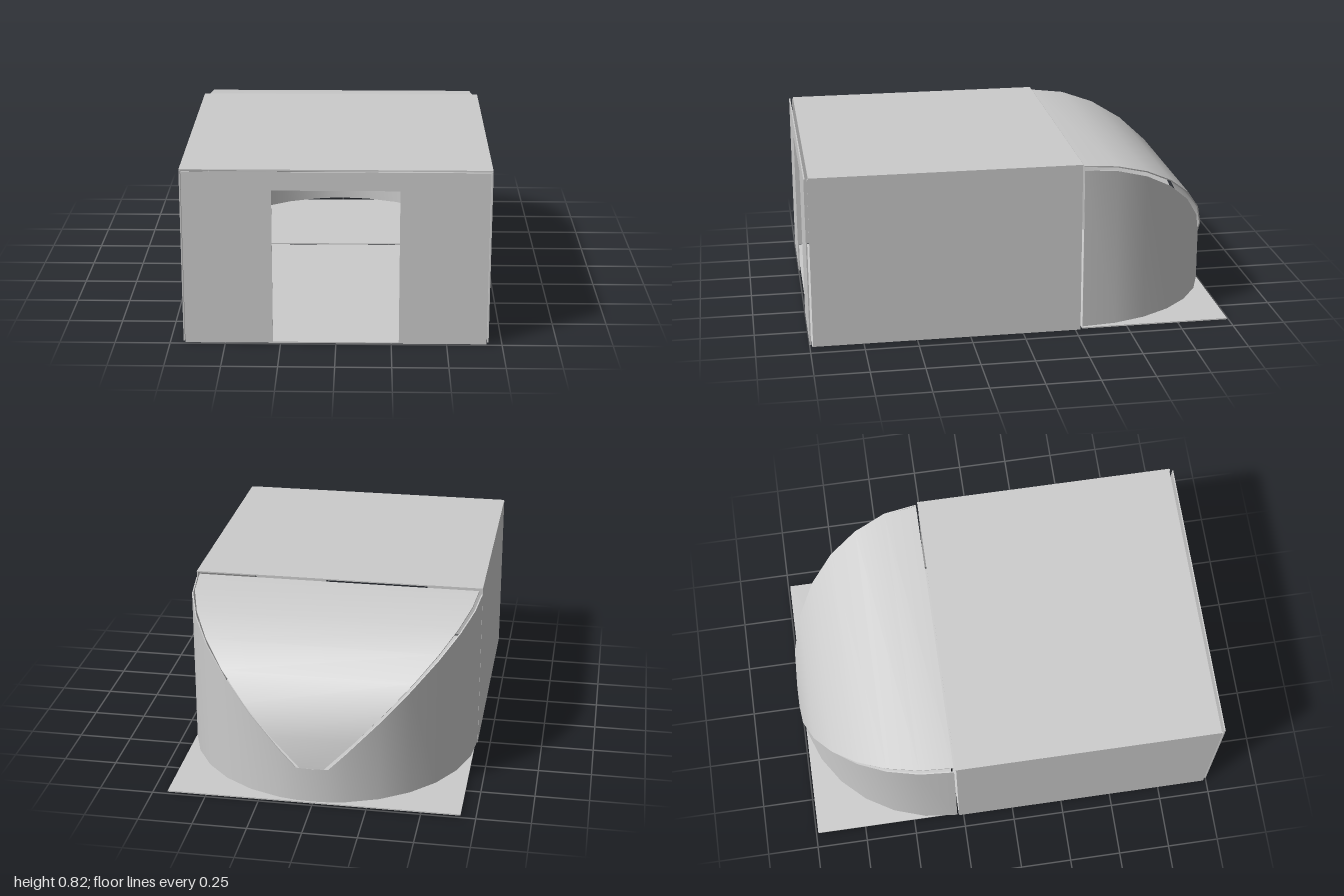
import * as THREE from 'three';
import { toCreasedNormals } from 'three/addons/utils/BufferGeometryUtils.js';

const W = 0.69, H = 0.82, T = 0.006;      // half width, height, sheet thickness
const BACK = -0.282, DEPTH = 0.718;       // where the rounded end starts, how far it reaches
const SPRING = 0.188, RISE = 0.622;       // curved roof: springing height and rise
const STEPS = 7;                          // facets per quarter turn

const material = new THREE.MeshStandardMaterial({ color: 0xcccccc, side: THREE.DoubleSide });

function addMesh(group, name, geometry, x = 0, y = 0, z = 0) {
  const mesh = new THREE.Mesh(geometry, material);
  mesh.name = name;
  mesh.position.set(x, y, z);
  group.add(mesh);
}

// Flat panel given by its lower and upper corner
function addPanel(group, name, [x0, y0, z0], [x1, y1, z1]) {
  addMesh(group, name, new THREE.BoxGeometry(x1 - x0, y1 - y0, z1 - z0),
    (x0 + x1) / 2, (y0 + y1) / 2, (z0 + z1) / 2);
}

// Closed thin sheet through a row of four-cornered cross-sections
function loft(rings) {
  const index = [];
  for (let i = 0; i < rings.length - 1; i++) {
    for (let j = 0; j < 4; j++) {
      const a = i * 4 + j, b = i * 4 + (j + 1) % 4;
      index.push(a, a + 4, b, b, a + 4, b + 4);
    }
  }
  const e = (rings.length - 1) * 4;
  index.push(0, 1, 2, 0, 2, 3, e, e + 2, e + 1, e, e + 3, e + 2);
  const geometry = new THREE.BufferGeometry();
  geometry.setAttribute('position', new THREE.Float32BufferAttribute(rings.flat(2), 3));
  geometry.setIndex(index);
  return toCreasedNormals(geometry, Math.PI / 5);
}

// Upright half-round wall whose top edge climbs from the centre to both sides
function curvedWall() {
  const angles = [];
  for (let i = -STEPS; i <= STEPS; i++) angles.push((i / STEPS) * Math.PI / 2);
  const kink = Math.asin(0.075 / W);      // end of the slit
  angles.push(-kink, kink);
  angles.sort((a, b) => b - a);
  return loft(angles.map((a) => {
    const s = Math.sin(a), c = Math.cos(a);
    const top = 0.187 + Math.max(0, Math.abs(W * s) - 0.075) * 0.985;
    const point = (t, y) => [(W - t) * s, y, BACK - (DEPTH - t) * c];
    return [point(0, 0.02), point(0, top), point(T, top), point(T, 0.02)];
  }));
}

// Quarter-round roof that widens from the back centre up to the flat roof
function curvedRoof() {
  const rings = [];
  for (let i = 0; i <= STEPS; i++) {
    const a = (i / STEPS) * Math.PI / 2, s = Math.sin(a), c = Math.cos(a);
    const half = 0.055 + RISE * s * 0.995;
    const point = (x, t) => [x, SPRING + (RISE - t) * s, BACK - (DEPTH - t) * c];
    rings.push([point(-half, 0), point(half, 0), point(half, T), point(-half, T)]);
  }
  return loft(rings);
}

// Front panel with the doorway cut up from its lower edge
function frontPanel() {
  const w = 0.68, d = 0.284, low = 0.01, high = H - 0.005, door = 0.73;
  const shape = new THREE.Shape([
    [-w, low], [-d, low], [-d, door], [d, door], [d, low], [w, low], [w, high], [-w, high],
  ].map(([x, y]) => new THREE.Vector2(x, y)));
  return new THREE.ExtrudeGeometry(shape, { depth: T, bevelEnabled: false });
}

export function createModel() {
  const group = new THREE.Group();
  group.name = 'roundEndedShelter';

  // Floor in two pieces, the rear one square under the rounded end
  addPanel(group, 'mainFloor', [-0.68, 0, -0.274], [0.68, T, 0.99]);
  addPanel(group, 'rearFloor', [-0.68, 0.004, -0.99], [0.68, 0.004 + T, BACK]);

  // Straight walls and flat roof
  for (const [name, x] of [['leftWall', W - T], ['rightWall', -W]]) {
    addPanel(group, name, [x, 0.006, -0.272], [x + T, H - T, 0.985]);
  }
  addPanel(group, 'flatRoof', [-W, H - T, -0.274], [W, H, 0.98]);
  addMesh(group, 'frontWall', frontPanel(), 0, 0, 1 - T);

  // Rounded end
  addMesh(group, 'curvedWall', curvedWall());
  addMesh(group, 'curvedRoof', curvedRoof());
  return group;
}
